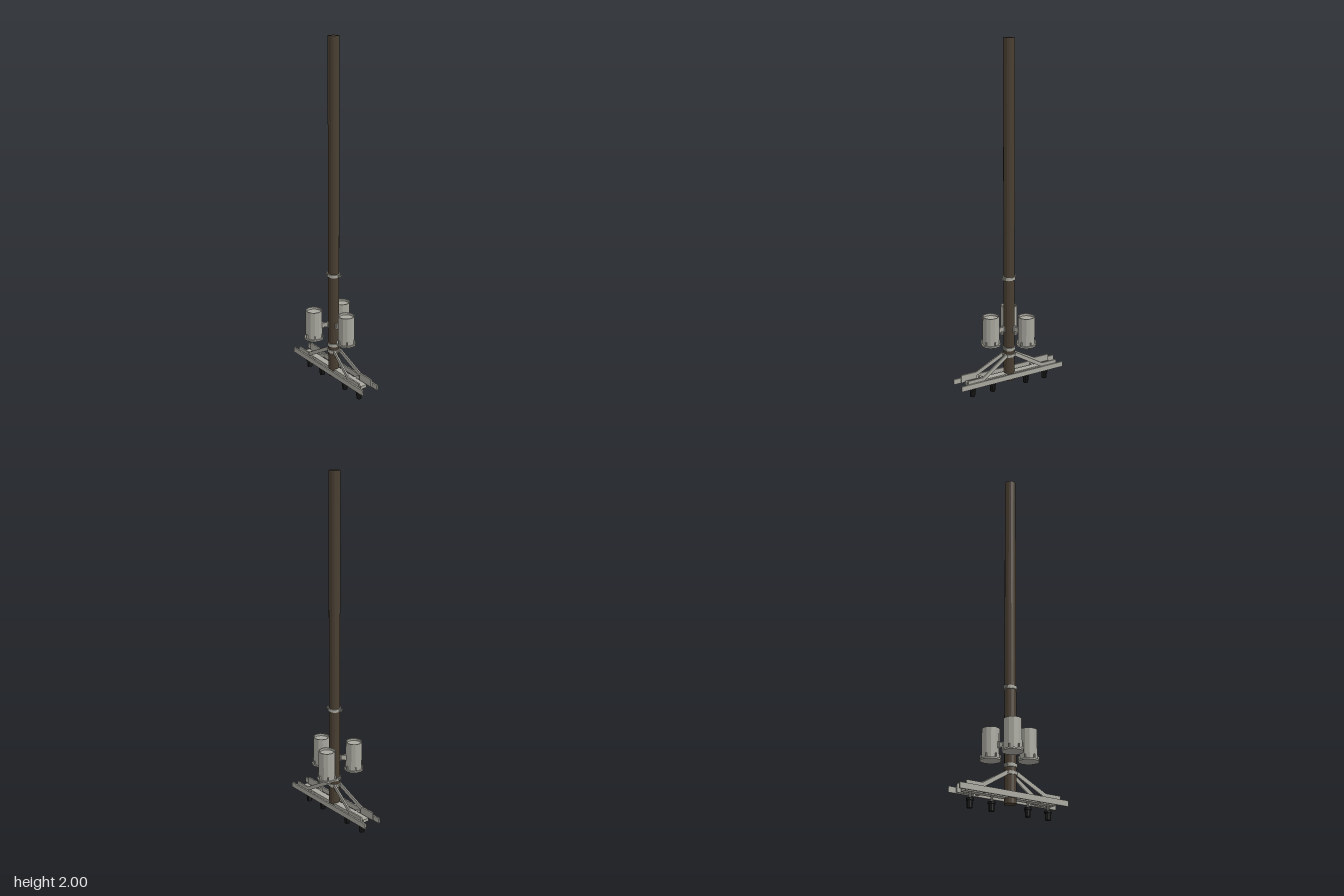
import * as THREE from 'three';

const mat = (name, color) => {
  const m = new THREE.MeshStandardMaterial({ color, flatShading: true });
  m.name = name;
  return m;
};

export function createModel() {
  const group = new THREE.Group();
  const wood = mat('dark wood', 0x4a3f32);
  const steel = mat('galvanised grey', 0xa9a89f);
  const black = mat('insulator black', 0x1c1c1c);

  const add = (name, geo, material, x = 0, y = 0, z = 0, parent = group) => {
    const mesh = new THREE.Mesh(geo, material);
    mesh.name = name;
    mesh.position.set(x, y, z);
    parent.add(mesh);
    return mesh;
  };
  const box = (name, w, h, d, x, y, z, parent) =>
    add(name, new THREE.BoxGeometry(w, h, d), steel, x, y, z, parent);
  const lathe = (pts, n) =>
    new THREE.LatheGeometry(pts.map(p => new THREE.Vector2(...p)), n);
  // Rectangular bar running between two points
  const bar = (name, a, b, w, h) => {
    const p = new THREE.Vector3(...a), q = new THREE.Vector3(...b);
    const mid = p.clone().add(q).multiplyScalar(0.5);
    const mesh = box(name, w, h, p.distanceTo(q), mid.x, mid.y, mid.z);
    mesh.lookAt(q);
    return mesh;
  };

  // Pole
  add('pole', new THREE.CylinderGeometry(0.032, 0.032, 1.95, 14), wood, 0, 1.025, 0);

  // Clamp bands with bolted ears
  for (const [y, r, ear] of [[0.675, 0.038, 0.049], [0.248, 0.037, 0.041], [0.208, 0.037, 0.04]]) {
    const clamp = new THREE.Group();
    clamp.name = 'clamp';
    clamp.position.y = y;
    clamp.rotation.y = 0.3;
    group.add(clamp);
    const h = 0.009;
    add('clampBand', lathe([[0.031, -h], [r, -h], [r, h], [0.031, h]], 14), steel, 0, 0, 0, clamp);
    for (const s of [-1, 1]) {
      for (const z of [-0.006, 0.006]) {
        box('clampEar', ear - 0.033, 0.016, 0.005, s * (ear + 0.033) / 2, 0, z, clamp);
      }
      const bolt = add('clampBolt', new THREE.CylinderGeometry(0.003, 0.003, 0.026, 6), steel,
        s * (ear - 0.004), 0, 0, clamp);
      bolt.rotation.x = Math.PI / 2;
    }
  }

  // Three open-topped canisters, each on a bracket
  const shell = lathe([[0, 0.291], [0.057, 0.291], [0.057, 0.3], [0.048, 0.3], [0.048, 0.465],
    [0.042, 0.465], [0.042, 0.452], [0, 0.452]], 12);
  for (const [x, z] of [[0.119, 0], [-0.055, 0.1], [-0.055, -0.101]]) {
    const unit = new THREE.Group();
    unit.name = 'canister';
    unit.rotation.y = Math.atan2(-z, x);
    group.add(unit);
    const d = Math.hypot(x, z);
    add('canisterShell', shell, steel, d, 0, 0, unit);
    for (let i = 0; i < 6; i++) {
      const a = (i + 0.5) * Math.PI / 3;
      const rib = box('canisterRib', 0.009, 0.022, 0.007,
        d + Math.cos(a) * 0.051, 0.311, Math.sin(a) * 0.051, unit);
      rib.rotation.y = -a;
    }
    box('bracketArm', d - 0.072, 0.028, 0.012, (d - 0.016) / 2, 0.37, 0, unit);
    box('bracketPlate', 0.006, 0.03, 0.03, 0.034, 0.37, 0, unit);
    box('bracketPad', 0.008, 0.032, 0.022, d - 0.05, 0.37, 0, unit);
  }

  // Crossarm rails, centre beam and spacers
  const zc = -0.003;
  for (const s of [-1, 1]) {
    box('crossarmRail', 0.67, 0.031, 0.009, 0, 0.09, zc + s * 0.0515);
    box('crossarmSpacer', 0.012, 0.014, 0.1, s * 0.172, 0.087, zc);
  }
  box('centreBeam', 0.56, 0.018, 0.039, 0, 0.087, zc);

  // Four braces with flat feet resting on the rails
  for (const sx of [-1, 1]) {
    for (const sz of [-1, 1]) {
      box('braceFoot', 0.1, 0.046, 0.009, sx * 0.242, 0.102, zc + sz * 0.0425);
      bar('brace', [sx * 0.195, 0.113, zc + sz * 0.042], [sx * 0.028, 0.21, zc + sz * 0.02], 0.009, 0.022);
    }
  }

  // Hanging insulators
  const body = lathe([[0, 0], [0.015, 0], [0.016, 0.035], [0.02, 0.037], [0.02, 0.048], [0, 0.05]], 10);
  for (const x of [-0.243, -0.114, 0.109, 0.24]) {
    add('insulator', body, black, x, 0, 0);
    add('insulatorStem', new THREE.CylinderGeometry(0.007, 0.007, 0.036, 8), steel, x, 0.064, 0);
  }

  return group;
}
